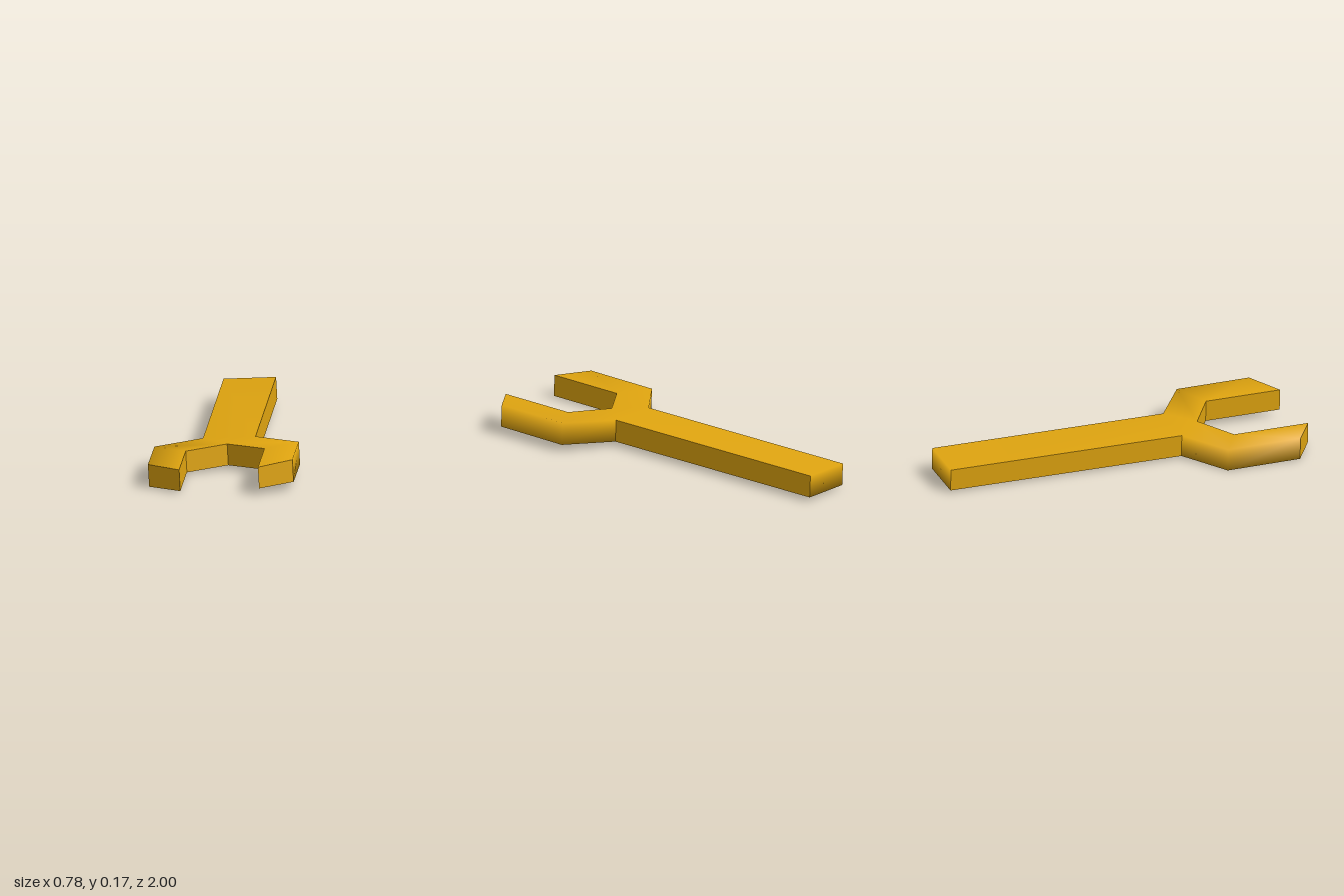
import * as THREE from 'three';

// One half of the outline: x, z, top height and bottom height about the mid plane
const crown = [0, 0.45, 0.058, -0.058];
const half = [
  [0.21, 0.58, 0.058, -0.058],   // inner jaw corner
  [0.21, 1.0, 0.060, -0.056],    // jaw tip, inner
  [0.385, 0.89, 0.068, -0.053],  // jaw tip, outer
  [0.385, 0.48, 0.064, -0.058],  // elbow
  [0.14, 0.31, 0.060, -0.060],   // neck
  [0.14, -1.0, 0.060, -0.060],   // handle end
];

export function createModel() {
  const gold = new THREE.MeshStandardMaterial({ color: 0xe0a510 });
  gold.name = 'gold';

  // Full outline, counter-clockwise seen from above
  const mirrored = half.map(([x, z, t, b]) => [-x, z, t, b]).reverse();
  const outline = [crown, ...half, ...mirrored];
  const n = outline.length;
  const points = [
    ...outline.map(([x, z, t]) => [x, t, z]),
    ...outline.map(([x, z, , b]) => [x, b, z]),
  ];
  const wall = (i) => {
    const j = (i + 1) % n;
    return [i + n, j + n, j, i];
  };
  const fan = (f) => f.slice(2).flatMap((c, k) => [f[0], f[k + 1], c]);

  const build = (faces, sharp) => {
    let geo = new THREE.BufferGeometry();
    geo.setAttribute('position', new THREE.Float32BufferAttribute(points.flat(), 3));
    geo.setIndex(faces.flatMap(fan));
    if (sharp) geo = geo.toNonIndexed();
    geo.computeVertexNormals();
    return geo;
  };

  // Handle, neck, shoulders and jaws on the top, repeated underneath
  const top = [[7, 8, 5, 6], [8, 0, 5], [0, 1, 4, 5], [1, 2, 3, 4], [0, 8, 9, 12], [12, 9, 10, 11]];
  const bottom = top.map((f) => f.map((i) => i + n).reverse());

  const wrench = new THREE.Group();
  wrench.name = 'wrench';
  const add = (name, geo) => {
    const mesh = new THREE.Mesh(geo, gold);
    mesh.name = name;
    wrench.add(mesh);
  };
  // Faces blended softly into the outer jaw walls and handle end
  add('wrenchShell', build([...top, ...bottom, ...[3, 4, 6, 8, 9].map(wall)], false));
  // Crisp handle sides, inner jaw walls and jaw tips
  add('handleSides', build([5, 7].map(wall), true));
  add('jawInnerWalls', build([0, 1, 11, 12].map(wall), true));
  add('jawTips', build([2, 10].map(wall), true));

  // Slight roll as the wrench rests on one jaw
  wrench.rotation.z = 0.055;
  wrench.position.y = 0.08;

  const model = new THREE.Group();
  model.name = 'openWrench';
  model.add(wrench);
  return model;
}
